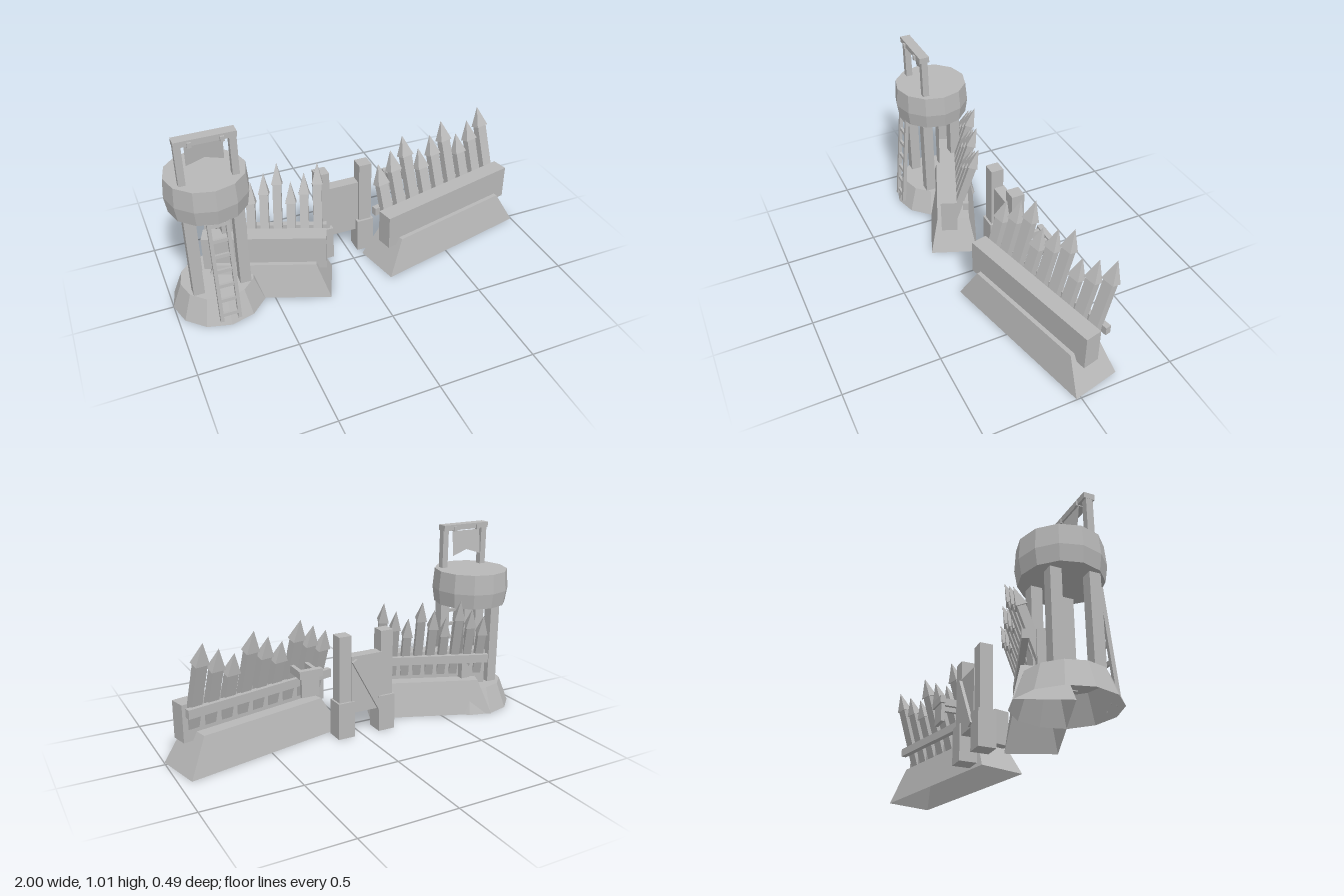
import * as THREE from 'three';

const stone = new THREE.MeshStandardMaterial({ color: 0xb8b8b8, flatShading: true, side: THREE.DoubleSide });
stone.name = 'plain grey';

function add(parent, name, geometry, x = 0, y = 0, z = 0) {
  const mesh = new THREE.Mesh(geometry, stone);
  mesh.name = name;
  mesh.position.set(x, y, z);
  parent.add(mesh);
  return mesh;
}

// Box given by its limits on each axis
function block(parent, name, [x0, x1], [y0, y1], [z0, z1]) {
  const g = new THREE.BoxGeometry(x1 - x0, y1 - y0, z1 - z0);
  return add(parent, name, g, (x0 + x1) / 2, (y0 + y1) / 2, (z0 + z1) / 2);
}

// Sloped earthwork, open underneath
function mound(length, height, depth, topLength, topDepth) {
  const g = new THREE.BoxGeometry(length, height, depth);
  const p = g.attributes.position;
  for (let i = 0; i < p.count; i++) {
    if (p.getY(i) > 0) p.setXYZ(i, p.getX(i) * topLength / length, p.getY(i), p.getZ(i) * topDepth / depth);
  }
  g.setIndex(Array.from(g.index.array).filter((_, i) => i < 18 || i >= 24));
  g.clearGroups();
  return g;
}

// Sharpened stake leaning backwards, pivoting at the rail
function stake(parent, x, tipY) {
  const lean = 0.31, pivot = 0.31, tip = 0.11;
  const length = (tipY - pivot) / Math.cos(lean);
  const s = new THREE.Group();
  s.name = 'stake';
  s.position.set(x, pivot, -0.035);
  s.rotation.x = -lean;
  block(s, 'stakeShaft', [-0.029, 0.029], [-0.14, length - tip], [-0.02, 0.02]);
  const cone = new THREE.ConeGeometry(Math.SQRT1_2, tip, 4).rotateY(Math.PI / 4).scale(0.074, 1, 0.052);
  add(s, 'stakePoint', cone, 0, length - tip / 2, 0);
  parent.add(s);
}

function palisade(name, x, angle, stretch) {
  const w = new THREE.Group();
  w.name = name;
  w.position.x = x;
  w.rotation.y = THREE.MathUtils.degToRad(angle);
  w.scale.x = stretch;
  add(w, 'mound', mound(0.9, 0.185, 0.257, 0.7, 0.177), 0, 0.0925, 0);
  block(w, 'frontBeam', [-0.42, 0.42], [0.145, 0.335], [-0.022, 0.066]);
  block(w, 'backRail', [-0.42, 0.42], [0.285, 0.33], [-0.085, -0.055]);
  const tips = [0.56, 0.605, 0.655];
  for (let i = 0; i < 9; i++) stake(w, (i - 4) * 0.0907, tips[i % 3]);
  return w;
}

function watchtower() {
  const t = new THREE.Group();
  t.name = 'watchtower';
  t.position.x = -0.76;

  // Base and basket
  const v = (r, y) => new THREE.Vector2(r, y);
  add(t, 'towerBase', new THREE.LatheGeometry([v(0.242, 0), v(0.19, 0.135), v(0, 0.135)], 12));
  add(t, 'lookout', new THREE.LatheGeometry(
    [v(0, 0.59), v(0.195, 0.59), v(0.207, 0.67), v(0.198, 0.775), v(0, 0.775)], 12));

  // Legs
  for (const side of [-1, 1]) {
    for (const [x, z] of [[0.12, 0.085], [0.09, -0.09]]) {
      block(t, 'leg', [side * x - 0.028, side * x + 0.028], [0.13, 0.6], [z - 0.028, z + 0.028]);
    }
    // Flag frame
    block(t, 'framePost', [side * 0.127 - 0.017, side * 0.127 + 0.017], [0.77, 1], [0.065, 0.1]);
    block(t, 'framePeg', [side * 0.075 - 0.01, side * 0.075 + 0.01], [0.975, 1], [0.048, 0.12]);
  }
  block(t, 'frameBar', [-0.145, 0.145], [0.98, 1.01], [0.055, 0.11]);

  // Swallow-tailed flag
  const flag = new THREE.Shape([v(-0.09, 0), v(-0.09, -0.135), v(0, -0.105), v(0.09, -0.135), v(0.09, 0)]);
  add(t, 'flag', new THREE.ShapeGeometry(flag), 0, 0.975, 0.06).rotation.x = 0.12;

  // Ladder leaning on the lookout
  const ladder = new THREE.Group();
  ladder.name = 'ladder';
  ladder.position.set(0, 0.03, 0.228);
  ladder.rotation.x = -0.1;
  for (const side of [-1, 1]) {
    block(ladder, 'ladderRail', [side * 0.045 - 0.009, side * 0.045 + 0.009], [0, 0.57], [-0.01, 0.01]);
  }
  for (let i = 0; i < 7; i++) {
    const y = 0.035 + i * 0.085;
    block(ladder, 'rung', [-0.045, 0.045], [y - 0.009, y + 0.009], [-0.007, 0.007]);
  }
  t.add(ladder);
  return t;
}

function gate() {
  const g = new THREE.Group();
  g.name = 'gate';
  g.position.set(-0.024, 0, -0.105);
  for (const side of [-1, 1]) {
    block(g, 'gatePost', [side * 0.12 - 0.035, side * 0.12 + 0.035], [0.19, 0.545], [-0.035, 0.035]);
    block(g, 'gateFooting', [side * 0.118 - 0.047, side * 0.118 + 0.047], [0, 0.195], [-0.047, 0.047]);
  }
  block(g, 'gatePanel', [-0.09, 0.09], [0.13, 0.435], [-0.04, 0.02]);
  const brace = block(g, 'gateBrace', [-0.015, 0.015], [-0.16, 0.16], [-0.057, -0.038]);
  brace.position.y = 0.275;
  brace.rotation.z = -0.5;
  return g;
}

// Small bracket fixed behind the long wall
function bracket() {
  const b = new THREE.Group();
  b.name = 'bracket';
  b.position.set(0.307, 0, 0);
  block(b, 'bracketPlate', [-0.062, 0.062], [0.38, 0.42], [-0.185, -0.155]);
  block(b, 'bracketBody', [-0.048, 0.048], [0.28, 0.38], [-0.175, -0.155]);
  for (const x of [-0.04, 0.04]) block(b, 'bracketArm', [x - 0.01, x + 0.01], [0.37, 0.41], [-0.16, -0.04]);
  return b;
}

export function createModel() {
  const model = new THREE.Group();
  model.name = 'palisadeFort';
  model.add(
    watchtower(),
    palisade('shortWall', -0.495, -22, 0.75),
    gate(),
    palisade('longWall', 0.53, 13, 1),
    bracket(),
  );
  return model;
}
